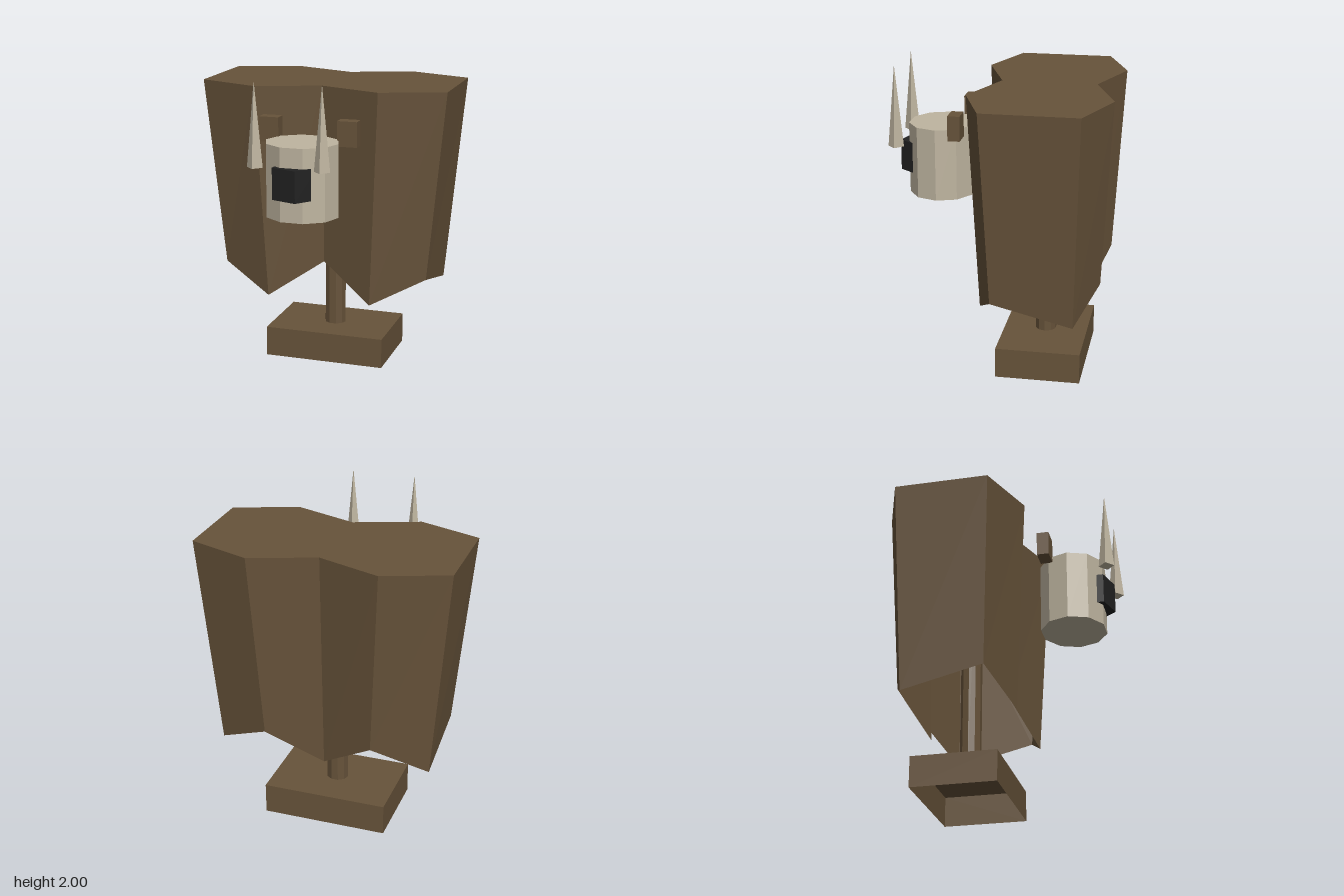
import * as THREE from 'three';

const material = (name, color, side = THREE.FrontSide) => {
  const m = new THREE.MeshStandardMaterial({ color, side, flatShading: true });
  m.name = name;
  return m;
};

// Flat-sided column with its centre at (x, z), standing between y0 and y1
function column(rx, rz, sides, y0, y1, z) {
  const g = new THREE.CylinderGeometry(1, 1, y1 - y0, sides);
  g.rotateY(Math.PI / 10);
  g.scale(rx, 1, rz);
  g.translate(0, (y0 + y1) / 2, z);
  return g;
}

// Cloak: ten folds between a flat top ring and a ragged, open hem
function cloakGeometry() {
  const centreZ = -0.273;
  const top = [
    [-0.815, 0.03], [-0.41, 0.18], [0, 0.03], [0.41, 0.18], [0.815, 0.03],
    [0.815, -0.575], [0.41, -0.725], [0, -0.575], [-0.41, -0.725], [-0.815, -0.575],
  ].map(([x, z]) => [x, 1.88, z]);
  const hemY = [0.64, 0.47, 0.7, 0.47, 0.64, 0.515, 0.68, 0.455, 0.68, 0.515];
  const hem = top.map(([x, , z], i) => [x * 0.85, hemY[i], centreZ + (z - centreZ) * 0.855]);
  const pos = [];
  for (let i = 0; i < top.length; i++) {
    const j = (i + 1) % top.length;
    pos.push(...hem[i], ...hem[j], ...top[j], ...hem[i], ...top[j], ...top[i]);
    pos.push(0, 1.88, centreZ, ...top[i], ...top[j]);
  }
  const g = new THREE.BufferGeometry();
  g.setAttribute('position', new THREE.Float32BufferAttribute(pos, 3));
  g.computeVertexNormals();
  return g;
}

// Box open underneath
function openBox(w, h, d) {
  const g = new THREE.BoxGeometry(w, h, d);
  const index = Array.from(g.index.array);
  index.splice(18, 6);
  g.setIndex(index);
  g.clearGroups();
  return g;
}

export function createModel() {
  const group = new THREE.Group();
  const brown = material('brown', 0x67533a, THREE.DoubleSide);
  const bone = material('bone', 0xbfb5a0);
  const black = material('black', 0x222222);

  const add = (name, geometry, mat, x = 0, y = 0, z = 0) => {
    const mesh = new THREE.Mesh(geometry, mat);
    mesh.name = name;
    mesh.position.set(x, y, z);
    group.add(mesh);
  };

  // Stand and cloak
  add('base', openBox(0.81, 0.2, 0.55), brown, 0, 0.1, -0.27);
  add('pole', column(0.072, 0.069, 10, 0.2, 1.87, -0.268), brown);
  add('cloak', cloakGeometry(), brown);

  // Head and muzzle
  add('head', column(0.235, 0.217, 10, 1.13, 1.595, 0.42), bone);
  add('muzzle', column(0.147, 0.14, 5, 1.27, 1.47, 0.557), black);

  // Ears and horns
  for (const [side, s] of [['left', 1], ['right', -1]]) {
    add(side + 'Ear', new THREE.BoxGeometry(0.127, 0.16, 0.078), brown, s * 0.256, 1.636, 0.28);
    add(side + 'Horn', new THREE.ConeGeometry(0.051, 0.525, 4), bone, s * 0.213, 1.7375, 0.677);
  }
  return group;
}
